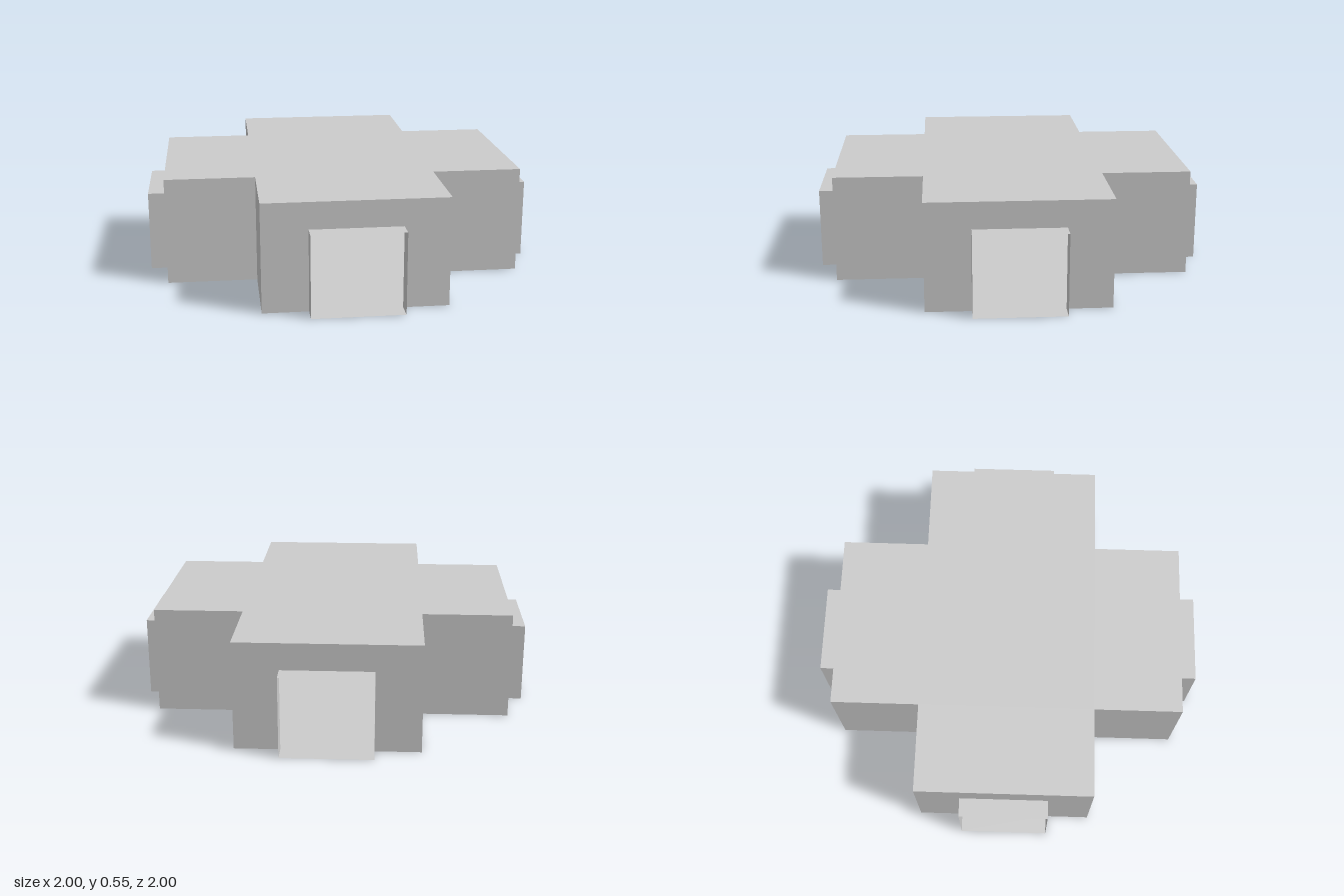
import * as THREE from 'three';

const W = 0.453;   // half width of an arm
const L = 0.906;   // reach of an arm
const H = 0.545;   // roof height
const D = 0.227;   // half width of a doorway
const DH = 0.41;   // doorway height
const END = 1;     // outer end of the door sleeves

const material = new THREE.MeshStandardMaterial({ color: 0xcccccc, side: THREE.DoubleSide });

function sheet(points, name) {
  const shape = new THREE.Shape(points.map(([x, y]) => new THREE.Vector2(x, y)));
  const mesh = new THREE.Mesh(new THREE.ShapeGeometry(shape), material);
  mesh.name = name;
  return mesh;
}

// Repeats one quarter of an outline around the centre
function fourfold(quarter) {
  const points = [];
  for (let i = 0; i < 4; i++) {
    for (const [x, y] of quarter) {
      points.push([[x, y], [-y, x], [-x, -y], [y, -x]][i]);
    }
  }
  return points;
}

// Upright thin panel facing +x (side 1) or -x (side -1)
function sidePanel(side, x, z0, z1, height, name) {
  const mesh = new THREE.Mesh(new THREE.PlaneGeometry(z1 - z0, height), material);
  mesh.rotation.y = side * Math.PI / 2;
  mesh.position.set(side * x, height / 2, (z0 + z1) / 2);
  mesh.name = name;
  return mesh;
}

function createArm() {
  const arm = new THREE.Group();

  // End wall with the doorway cut out
  const wall = sheet([[-W, 0], [-D, 0], [-D, DH], [D, DH], [D, 0], [W, 0], [W, H], [-W, H]], 'endWall');
  wall.position.z = L;
  arm.add(wall);

  // Side walls and door sleeve sides
  for (const side of [-1, 1]) {
    arm.add(sidePanel(side, W, W, L, H, 'sideWall'));
    arm.add(sidePanel(side, D, L, END, DH, 'doorSleeveSide'));
  }

  // Door sleeve top
  const lintel = new THREE.Mesh(new THREE.PlaneGeometry(2 * D, END - L), material);
  lintel.rotation.x = -Math.PI / 2;
  lintel.position.set(0, DH, (L + END) / 2);
  lintel.name = 'doorSleeveTop';
  arm.add(lintel);
  return arm;
}

export function createModel() {
  const model = new THREE.Group();
  model.name = 'crossRoom';

  // Floor runs out under the door sleeves
  const floor = sheet(fourfold([[L, -W], [L, -D], [END, -D], [END, D], [L, D], [L, W], [W, W]]), 'floor');
  floor.rotation.x = Math.PI / 2;
  model.add(floor);

  // Cross-shaped roof
  const roof = sheet(fourfold([[L, -W], [L, W], [W, W]]), 'roof');
  roof.rotation.x = -Math.PI / 2;
  roof.position.y = H;
  model.add(roof);

  // Four identical arms
  ['frontArm', 'leftArm', 'backArm', 'rightArm'].forEach((name, i) => {
    const arm = createArm();
    arm.name = name;
    arm.rotation.y = i * Math.PI / 2;
    model.add(arm);
  });
  return model;
}
